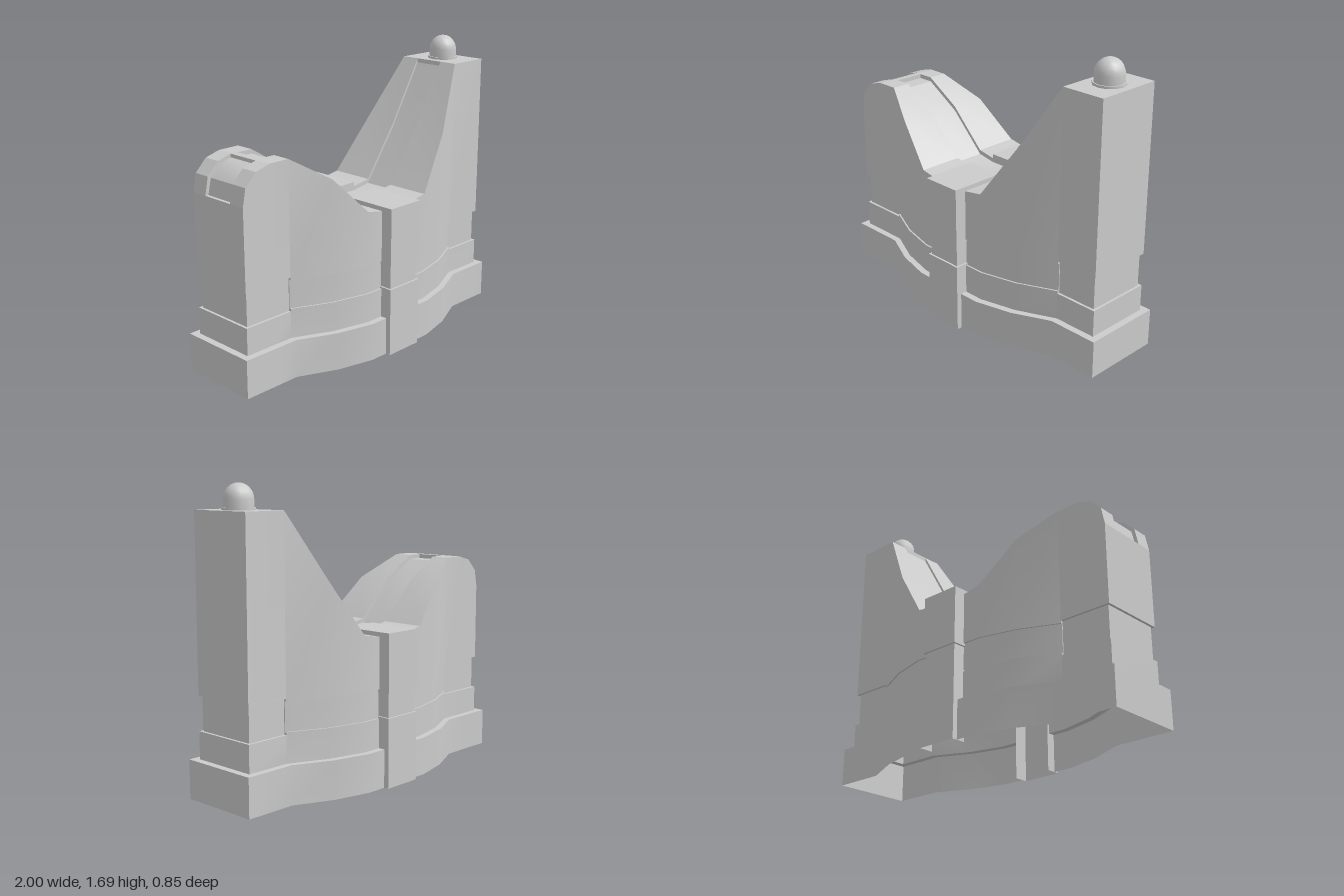
import * as THREE from 'three';
import { toCreasedNormals } from 'three/addons/utils/BufferGeometryUtils.js';

const material = new THREE.MeshStandardMaterial({ color: 0xcccccc, side: THREE.DoubleSide });

function addMesh(parent, name, geometry) {
  const mesh = new THREE.Mesh(geometry, material);
  mesh.name = name;
  parent.add(mesh);
  return mesh;
}

// Skin between successive rows of points; columns listed in skip stay open
function grid(rows, skip = []) {
  const pos = [];
  const tri = (...p) => {
    const [a, b, c] = p.map((q) => new THREE.Vector3(...q));
    if (b.sub(a).cross(c.sub(a)).length() > 1e-8) p.forEach((q) => pos.push(...q));
  };
  for (let r = 0; r + 1 < rows.length; r++) {
    for (let i = 0; i + 1 < rows[r].length; i++) {
      if (skip.includes(i)) continue;
      const a = rows[r][i], b = rows[r][i + 1], c = rows[r + 1][i + 1], d = rows[r + 1][i];
      tri(a, b, c);
      tri(a, c, d);
    }
  }
  const g = new THREE.BufferGeometry();
  g.setAttribute('position', new THREE.Float32BufferAttribute(pos, 3));
  return toCreasedNormals(g, 0.5);
}

// Piecewise linear lookup
function lookup(table, x) {
  for (let i = 0; i + 1 < table.length; i++) {
    const [x0, v0] = table[i], [x1, v1] = table[i + 1];
    if (x <= x1) return v0 + (v1 - v0) * Math.max(0, (x - x0) / (x1 - x0));
  }
  return table[table.length - 1][1];
}

const WIDTH = [[-0.96, 0.2], [-0.65, 0.2], [-0.43, 0.3], [-0.21, 0.355],
  [0.26, 0.355], [0.48, 0.3], [0.7, 0.2], [0.96, 0.2]];
const TOP = [[-0.96, 1.03], [-0.94, 1.13], [-0.87, 1.2], [-0.78, 1.225], [-0.65, 1.225],
  [-0.43, 1.09], [-0.21, 0.87], [-0.1, 0.85], [0.14, 0.85], [0.26, 0.87],
  [0.48, 1.18], [0.7, 1.55], [0.96, 1.55]];
const END = 0.96;

// Plinth, recessed band and side walls as one open-bottomed shell
function wallGeometry() {
  const side = [];
  for (const [x] of TOP) {
    const seam = x === -0.65 || x === 0.7;
    const inEnd = x <= -0.65 || x >= 0.7;
    if (seam) side.push({ x, end: x < 0 }, { x, end: x > 0 });
    else side.push({ x, end: inEnd });
  }
  const ring = [
    ...side.map((p) => ({ ...p, s: 1 })),
    ...side.slice().reverse().map((p) => ({ ...p, s: -1 })),
  ];
  ring.push(ring[0]);
  const levels = (p) => {
    const lo = p.end ? 0.375 : 0.39, hi = p.end ? 0.57 : 0.555, inset = p.end ? -0.015 : -0.01;
    return [[0, 0.04], [0.22, 0.04], [0.22, 0], [lo, 0], [lo, inset], [hi, inset], [hi, 0],
      [lookup(TOP, p.x), 0]];
  };
  const rows = [];
  for (let r = 0; r < 8; r++) {
    rows.push(ring.map((p) => {
      const [y, out] = levels(p)[r];
      const x = Math.abs(p.x) === END ? p.x + Math.sign(p.x) * out : p.x;
      return [x, y, p.s * (lookup(WIDTH, p.x) + out)];
    }));
  }
  // Leave the walls open behind the two centre piers
  const skip = [];
  for (let i = 0; i + 1 < ring.length; i++) {
    if (Math.abs(ring[i].x + ring[i + 1].x - 0.04) < 1e-6 && ring[i].s === ring[i + 1].s) skip.push(i);
  }
  return grid(rows, skip);
}

// Curved top with a central channel and a sunken panel over the rounded end
function roofGeometry() {
  const stations = [];
  const add = (x, dx, dy, gz) => stations.push({ x, dx, dy, gz });
  add(-0.96, 0, 0, 0.1);
  add(-0.96, 0.02, 0, 0.1);
  add(-0.94, 0.02, -0.01, 0.1);
  add(-0.87, 0.01, -0.02, 0.1);
  add(-0.785, 0, -0.02, 0.1);
  add(-0.785, 0, 0, 0.1);
  add(-0.78, 0, 0, 0.1);
  add(-0.745, 0, 0, 0.09);
  for (const x of [-0.745, -0.65, -0.43, -0.21, -0.1, 0.14, 0.26, 0.48, 0.7]) add(x, 0, -0.025, 0.09);
  add(0.7, 0, 0, 0.09);
  add(0.96, 0, 0, 0.09);
  const row = (sign, outer, sunk) => stations.map((s) => [
    s.x + (sunk ? s.dx : 0),
    lookup(TOP, s.x) + (sunk ? s.dy : 0),
    sign * (outer ? lookup(WIDTH, s.x) : s.gz),
  ]);
  return grid([row(1, true), row(1, false), row(1, false, true),
    row(-1, false, true), row(-1, false), row(-1, true)]);
}

// Pier with a shallow notch, and the slab it carries over the saddle
function pier(name) {
  const g = new THREE.Group();
  g.name = name;
  const levels = [[0, 0], [0.4, 0], [0.4, 0.012], [0.54, 0.012], [0.54, 0], [0.83, 0]];
  addMesh(g, 'pierWall', grid(levels.map(([y, i]) => {
    const h = 0.12 - i, z = 0.425 - i;
    return [[-h, y, 0.34], [-h, y, z], [h, y, z], [h, y, 0.34]];
  })));
  const slab = addMesh(g, 'saddleSlab', new THREE.BoxGeometry(0.24, 0.045, 0.335));
  slab.position.set(0, 0.8525, 0.2575);
  g.position.x = 0.02;
  return g;
}

export function createModel() {
  const model = new THREE.Group();
  model.name = 'saddleMonument';
  addMesh(model, 'plinthAndWalls', wallGeometry());
  addMesh(model, 'curvedRoof', roofGeometry());

  const backPier = pier('backPier');
  backPier.rotation.y = Math.PI;
  model.add(pier('frontPier'), backPier);

  // Domed knob on the tall end
  const profile = [[0.09, 1.545], [0.09, 1.563], [0.082, 1.563], [0.082, 1.605]];
  for (let i = 1; i <= 6; i++) {
    const a = (i / 6) * Math.PI / 2;
    profile.push([0.082 * Math.cos(a), 1.605 + 0.085 * Math.sin(a)]);
  }
  const knob = new THREE.LatheGeometry(profile.map(([r, y]) => new THREE.Vector2(Math.max(r, 0), y)), 12);
  addMesh(model, 'domedKnob', toCreasedNormals(knob, 0.7)).position.x = 0.83;
  return model;
}
